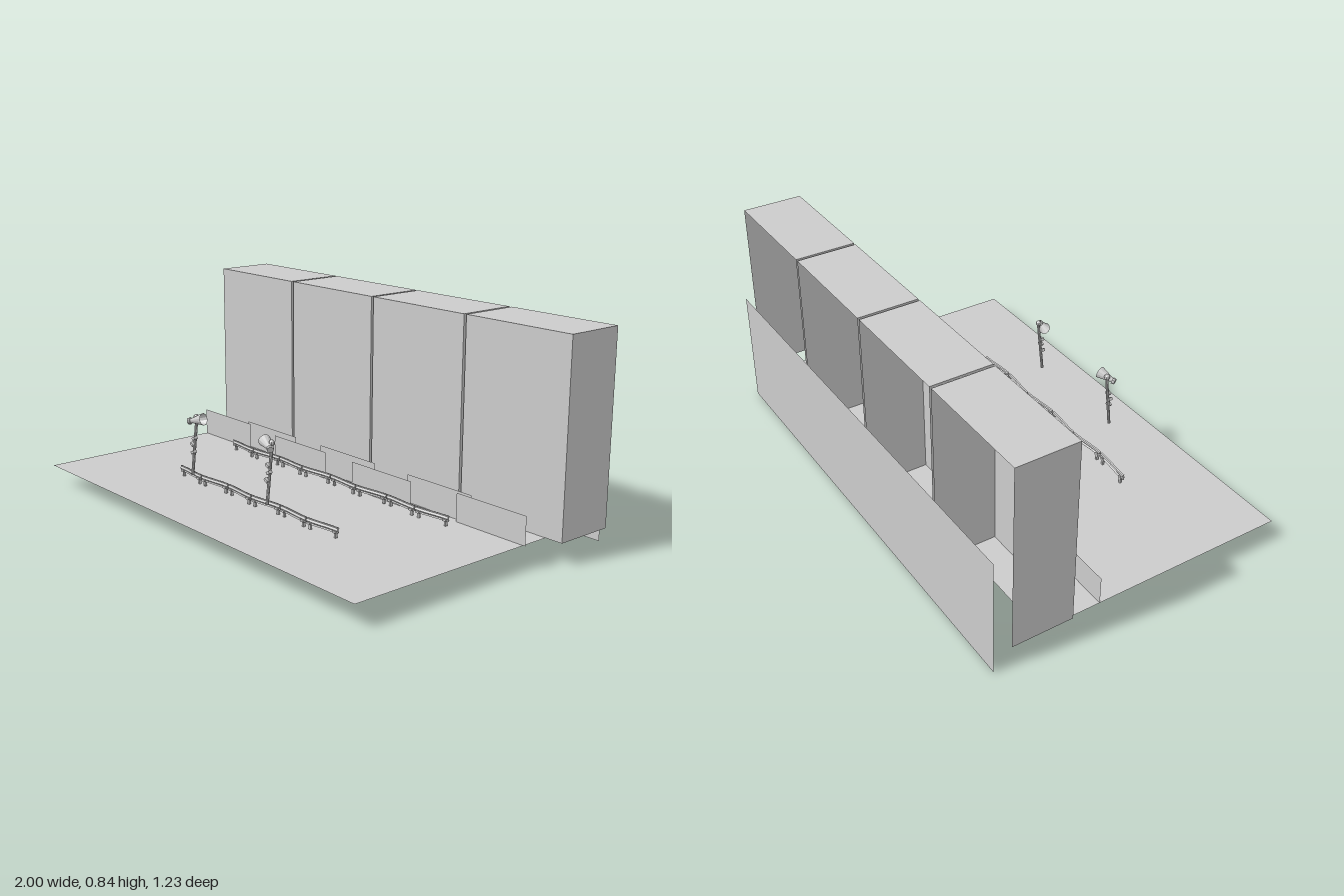
import * as THREE from 'three';

const mat = new THREE.MeshStandardMaterial({ color: 0xcccccc, side: THREE.DoubleSide, flatShading: true });

function add(parent, name, geometry, x = 0, y = 0, z = 0) {
  const mesh = new THREE.Mesh(geometry, mat);
  mesh.name = name;
  mesh.position.set(x, y, z);
  parent.add(mesh);
  return mesh;
}

// Upright flat sheet facing +z
function sheet(parent, name, x0, x1, y0, y1, z) {
  return add(parent, name, new THREE.PlaneGeometry(x1 - x0, y1 - y0), (x0 + x1) / 2, (y0 + y1) / 2, z);
}

// Cylinder or cone running between two points
function rod(parent, name, a, b, ra, rb, sides = 8, open = false) {
  const dir = b.clone().sub(a);
  const mesh = add(parent, name, new THREE.CylinderGeometry(rb, ra, dir.length(), sides, 1, open));
  mesh.position.copy(a).add(b).multiplyScalar(0.5);
  mesh.quaternion.setFromUnitVectors(new THREE.Vector3(0, 1, 0), dir.normalize());
  return mesh;
}

// Block shell with a front, top and two sides, open at the back and bottom
function createBlock(x, width, y0, y1, zBack, zFront) {
  const block = new THREE.Group();
  block.name = 'block';
  const h = y1 - y0, d = zFront - zBack, yc = (y0 + y1) / 2, zc = (zBack + zFront) / 2;
  sheet(block, 'blockFront', x - width / 2, x + width / 2, y0, y1, zFront);
  add(block, 'blockTop', new THREE.PlaneGeometry(width, d), x, y1, zc).rotation.x = -Math.PI / 2;
  for (const s of [-1, 1]) {
    add(block, 'blockSide', new THREE.PlaneGeometry(d, h), x + s * width / 2, yc, zc).rotation.y = s * Math.PI / 2;
  }
  return block;
}

// One length of guard rail: a ribbed beam with a slight sway, on two posts
function createRailUnit(length, mirror) {
  const unit = new THREE.Group();
  unit.name = 'railUnit';
  const section = new THREE.Shape([
    [-0.003, 0], [0.003, 0.002], [0.006, 0.006], [0.001, 0.011], [0.001, 0.013],
    [0.006, 0.018], [0.003, 0.023], [-0.003, 0.025], [-0.001, 0.019],
    [-0.005, 0.013], [-0.005, 0.011], [-0.001, 0.006],
  ].map(([a, b]) => new THREE.Vector2(a, b)));
  const sway = (x) => 0.006 * mirror * Math.sin((x / length) * Math.PI);
  const beam = new THREE.ExtrudeGeometry(section, { depth: length, steps: 8, bevelEnabled: false });
  beam.rotateY(Math.PI / 2).translate(-length / 2, 0.11, 0);
  const p = beam.attributes.position;
  for (let i = 0; i < p.count; i++) p.setZ(i, p.getZ(i) + sway(p.getX(i)));
  beam.computeVertexNormals();
  add(unit, 'railBeam', beam);
  for (const s of [-1, 1]) {
    const x = s * length * 0.4;
    add(unit, 'railPost', new THREE.BoxGeometry(0.009, 0.034, 0.009), x, 0.107, sway(x) - 0.003);
    add(unit, 'railBracket', new THREE.BoxGeometry(0.018, 0.008, 0.016), x, 0.114, sway(x));
  }
  return unit;
}

function createRailRow(x0, count, z) {
  const row = new THREE.Group();
  row.name = 'guardRail';
  const pitch = 0.165;
  for (let i = 0; i < count; i++) {
    const unit = createRailUnit(pitch - 0.006, i % 2 ? -1 : 1);
    unit.position.set(x0 + pitch * (i + 0.5), 0, z);
    row.add(unit);
  }
  return row;
}

// Leaning pole with a horn on top, pointing towards +x
function createHornPole() {
  const pole = new THREE.Group();
  pole.name = 'hornPole';
  const foot = new THREE.Vector3(0, 0.178, 0.398), head = new THREE.Vector3(0, 0.41, 0.372);
  rod(pole, 'pole', foot, head, 0.006, 0.006);
  // Small clamps along the front of the pole
  [0.27, 0.3, 0.325].forEach((y, i) => {
    const z = 0.398 - (y - 0.178) * 0.11;
    const clamp = add(pole, 'clamp', new THREE.BoxGeometry(0.018, 0.011, 0.016), i % 2 ? -0.004 : 0.004, y, z + 0.006);
    clamp.rotation.z = i % 2 ? -0.5 : 0.5;
  });
  // Flared horn, its back housing and the mount
  const back = new THREE.Vector3(-0.012, 0.393, 0.392), mouth = new THREE.Vector3(0.045, 0.407, 0.372);
  rod(pole, 'horn', back, mouth, 0.008, 0.024, 12, true);
  const housingEnd = new THREE.Vector3(-0.022, 0.39, 0.398);
  rod(pole, 'hornHousing', housingEnd, back, 0.012, 0.014, 10);
  add(pole, 'hornMount', new THREE.SphereGeometry(0.012, 8, 6), 0, 0.408, 0.374);
  return pole;
}

export function createModel() {
  const model = new THREE.Group();
  model.name = 'trackSideScene';
  const groundY = 0.088;

  // Ground sheet
  const ground = add(model, 'ground', new THREE.PlaneGeometry(1.915, 1.045), -0.032, groundY, 0.0925);
  ground.rotation.x = -Math.PI / 2;

  // Tall back panel
  sheet(model, 'backPanel', -0.99, 0.925, 0, 0.48, -0.614);

  // Row of four blocks
  for (let i = 0; i < 4; i++) {
    model.add(createBlock((i - 1.5) * 0.503, 0.491, groundY, 0.84, -0.548, -0.3));
  }

  // Staggered low boards: left edge and depth
  const boards = [[-0.99, -0.18], [-0.695, -0.2], [-0.44, -0.148], [-0.2, -0.2], [0.06, -0.145], [0.32, -0.2], [0.6, -0.18]];
  for (const [x, z] of boards) sheet(model, 'lowBoard', x, x + 0.335, groundY, 0.2, z);

  // Two guard rails
  model.add(createRailRow(-0.69, 8, -0.105));
  model.add(createRailRow(-0.525, 6, 0.285));

  // Pair of horn poles facing each other
  for (const [x, s] of [[-0.266, 1], [0.206, -1]]) {
    const pole = createHornPole();
    pole.position.x = x;
    pole.scale.x = s;
    model.add(pole);
  }
  return model;
}
